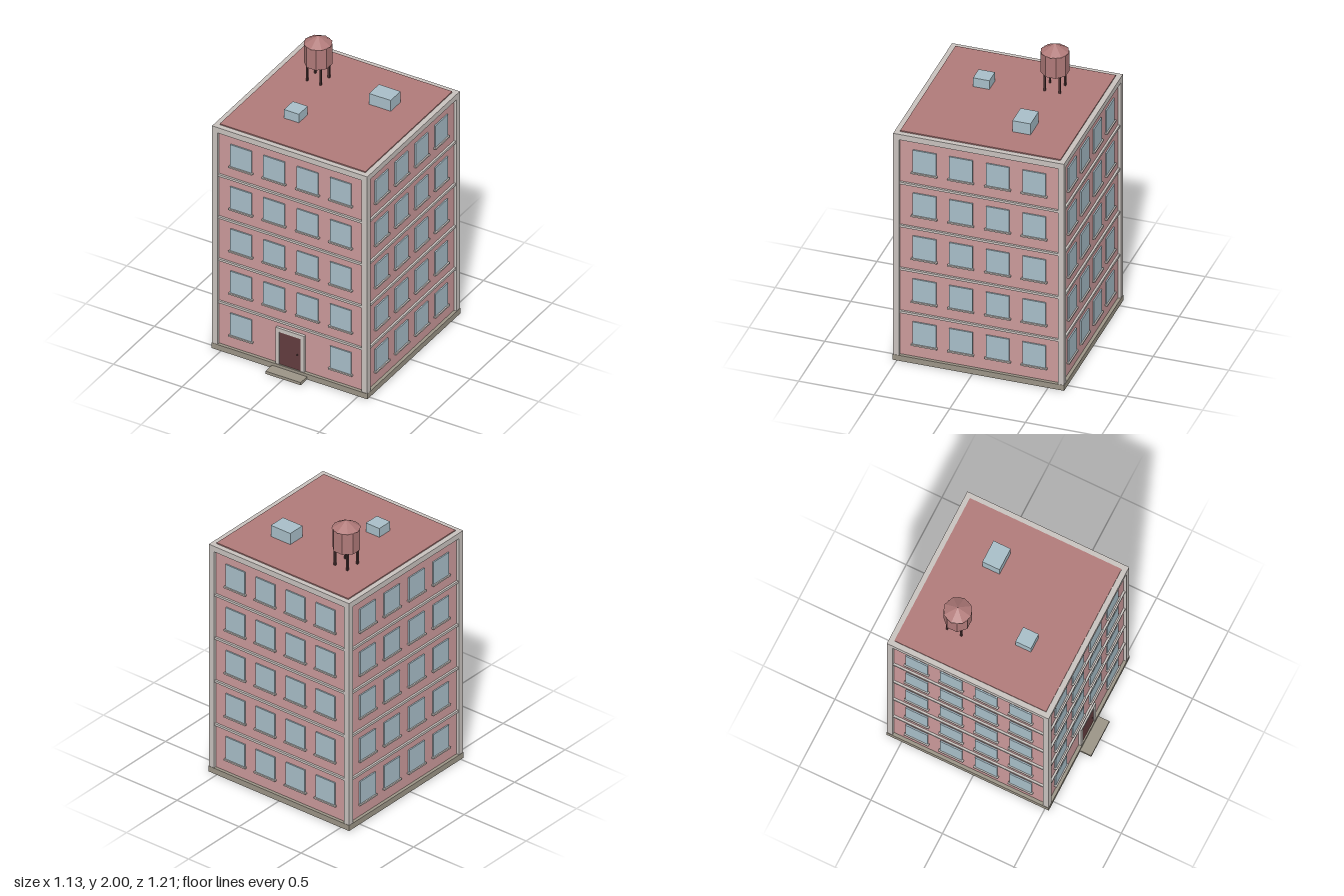
import * as THREE from 'three';

const mat = (name, color) => {
  const m = new THREE.MeshStandardMaterial({ color });
  m.name = name;
  return m;
};

export function createModel() {
  const brick = mat('pink brick', 0xcb9a9b);
  const roofRed = mat('roof red', 0xb07a79);
  const trim = mat('pale stone trim', 0xc8c2be);
  const stone = mat('base stone', 0x9b9486);
  const glass = mat('blue glass', 0xa8bec8);
  const door = mat('door maroon', 0x633c3e);
  const iron = mat('dark iron', 0x4a3232);

  const model = new THREE.Group();
  model.name = 'apartmentBuilding';

  const add = (parent, name, geometry, material, x, y, z) => {
    const mesh = new THREE.Mesh(geometry, material);
    mesh.name = name;
    mesh.position.set(x, y, z);
    parent.add(mesh);
    return mesh;
  };
  // Box given by its bottom and top height
  const box = (parent, name, material, w, d, y0, y1, x = 0, z = 0) =>
    add(parent, name, new THREE.BoxGeometry(w, y1 - y0, d), material, x, (y0 + y1) / 2, z);

  const HALF = 0.565;    // outer half width
  const WALL = 0.545;    // recessed wall plane
  const FLOOR = 0.316;   // storey height

  // Main block, set back to leave room for the front step
  const building = new THREE.Group();
  building.name = 'building';
  building.position.z = -0.04;
  model.add(building);

  box(building, 'base', stone, 1.134, 1.134, 0, 0.04);
  box(building, 'walls', brick, WALL * 2, WALL * 2, 0.04, 1.63);
  box(building, 'cornice', trim, HALF * 2, HALF * 2, 1.625, 1.665);
  box(building, 'roof', roofRed, 1.06, 1.06, 1.66, 1.673);
  for (const x of [-1, 1]) {
    for (const z of [-1, 1]) {
      box(building, 'cornerPillar', trim, 0.04, 0.04, 0.04, 1.63, x * 0.545, z * 0.545);
    }
  }

  // Four facades; the first one is the front
  ['front', 'left', 'back', 'right'].forEach((side, i) => {
    const facade = new THREE.Group();
    facade.name = side + 'Facade';
    facade.rotation.y = i * Math.PI / 2;
    building.add(facade);

    for (let floor = 0; floor < 5; floor++) {
      const y = 0.133 + floor * FLOOR;
      if (floor > 0) {
        const bandY = 0.04 + floor * FLOOR;
        box(facade, 'floorBand', trim, 1.05, 0.02, bandY - 0.008, bandY + 0.008, 0, WALL + 0.004);
      }
      for (const x of [-0.363, -0.122, 0.122, 0.363]) {
        if (i === 0 && floor === 0 && Math.abs(x) < 0.2) continue;
        box(facade, 'window', glass, 0.154, 0.009, y, y + 0.163, x, WALL + 0.0045);
        box(facade, 'windowSill', trim, 0.172, 0.018, y - 0.009, y + 0.001, x, WALL + 0.009);
      }
    }

    if (i === 0) {
      // Entrance: jambs, lintel, door leaf and knob
      for (const s of [-1, 1]) {
        box(facade, 'doorJamb', trim, 0.026, 0.018, 0.02, 0.31, s * 0.091, WALL + 0.009);
      }
      box(facade, 'doorLintel', trim, 0.208, 0.018, 0.282, 0.311, 0, WALL + 0.009);
      box(facade, 'door', door, 0.158, 0.012, 0.03, 0.284, 0, WALL + 0.006);
      add(facade, 'doorKnob', new THREE.SphereGeometry(0.005, 8, 6), iron, 0.056, 0.157, WALL + 0.019);
    }
  });

  box(model, 'frontStep', stone, 0.256, 0.1, 0, 0.02, 0, 0.555);

  // Rooftop units
  box(model, 'smallRoofUnit', glass, 0.108, 0.108, 1.67, 1.737, -0.164, 0.175);
  box(model, 'largeRoofUnit', glass, 0.157, 0.12, 1.67, 1.754, 0.237, -0.238);

  // Water tank on four legs
  const tank = new THREE.Group();
  tank.name = 'waterTank';
  tank.position.set(-0.262, 0, -0.26);
  model.add(tank);
  for (const x of [-1, 1]) {
    for (const z of [-1, 1]) {
      box(tank, 'tankLeg', iron, 0.012, 0.012, 1.67, 1.8, x * 0.05, z * 0.05);
    }
  }
  const barrel = new THREE.CylinderGeometry(0.09, 0.09, 0.15, 8).toNonIndexed();
  const cap = new THREE.ConeGeometry(0.093, 0.055, 8).toNonIndexed();
  barrel.computeVertexNormals();
  cap.computeVertexNormals();
  add(tank, 'tankBarrel', barrel, roofRed, 0, 1.87, 0).rotation.y = Math.PI / 8;
  add(tank, 'tankCap', cap, roofRed, 0, 1.9725, 0);

  return model;
}
